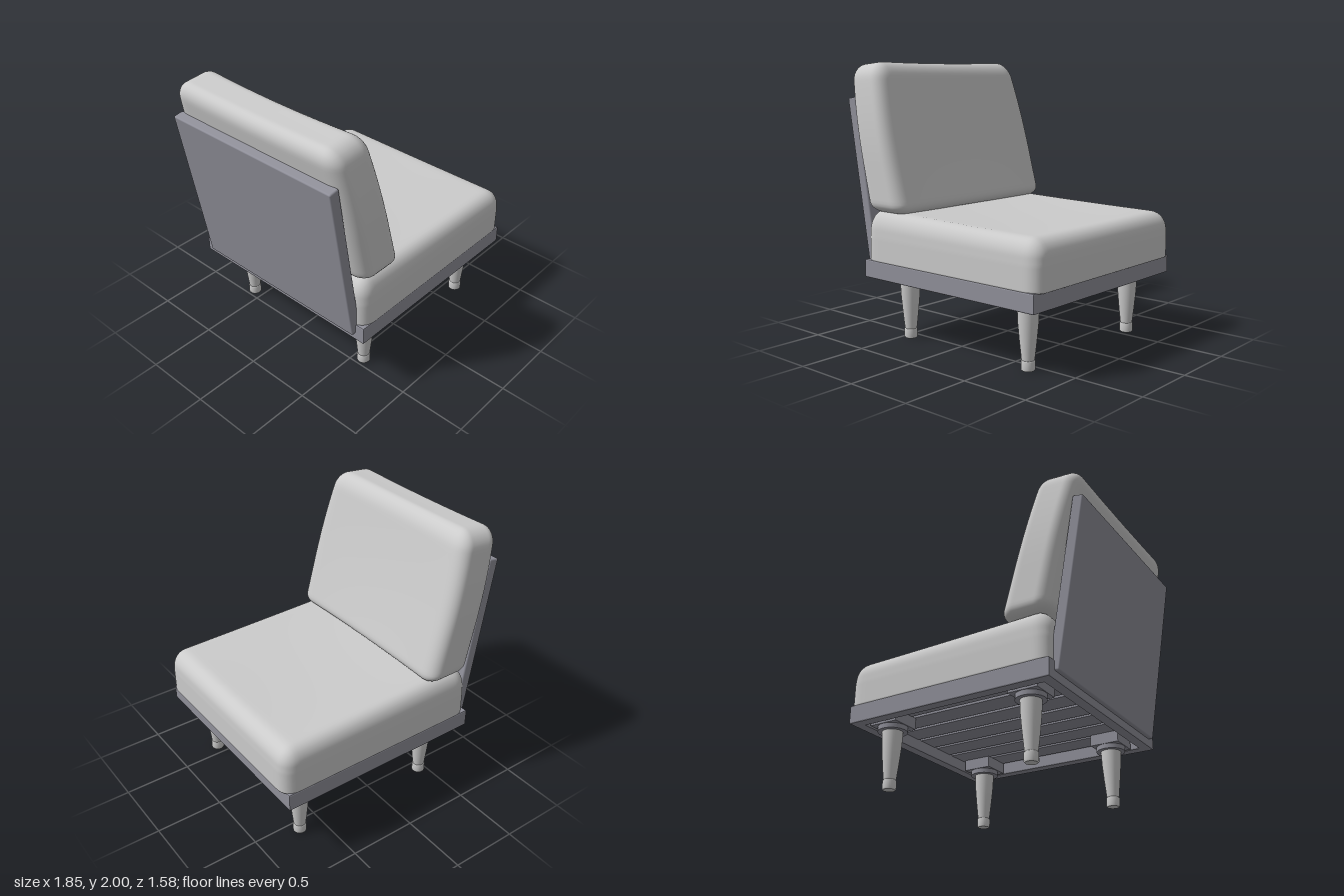
import * as THREE from 'three';
import { mergeVertices } from 'three/addons/utils/BufferGeometryUtils.js';
import { RoundedBoxGeometry } from 'three/addons/geometries/RoundedBoxGeometry.js';

const fabric = new THREE.MeshStandardMaterial({ color: 0xcccccc });
const frameMat = new THREE.MeshStandardMaterial({ color: 0x90909a });

function add(parent, name, geometry, material, x = 0, y = 0, z = 0) {
  const mesh = new THREE.Mesh(geometry, material);
  mesh.name = name;
  mesh.position.set(x, y, z);
  parent.add(mesh);
  return mesh;
}

// Soft box: half sizes, corner radii per axis (lowRy for the underside), then a deform rule
// that receives the point and its normalised coordinates (-1..1).
function cushion(half, radii, lowRy, deform) {
  const n = 40;
  let g = new THREE.BoxGeometry(2, 2, 2, n, n, n);
  g.deleteAttribute('uv');
  g.deleteAttribute('normal');
  g = mergeVertices(g, 1e-5);
  const pos = g.attributes.position;
  const p = new THREE.Vector3(), core = new THREE.Vector3(), off = new THREE.Vector3();
  for (let i = 0; i < pos.count; i++) {
    p.fromBufferAttribute(pos, i);
    const r = [radii[0], p.y < 0 ? lowRy : radii[1], radii[2]];
    for (let a = 0; a < 3; a++) {
      // cluster the rows near the edges, where the surface curves
      const v = half[a] * Math.sin(p.getComponent(a) * Math.PI / 2);
      const c = THREE.MathUtils.clamp(v, r[a] - half[a], half[a] - r[a]);
      core.setComponent(a, c);
      off.setComponent(a, (v - c) / r[a]);
    }
    off.normalize();
    for (let a = 0; a < 3; a++) p.setComponent(a, core.getComponent(a) + off.getComponent(a) * r[a]);
    deform(p, p.x / half[0], p.y / half[1], p.z / half[2]);
    pos.setXYZ(i, p.x, p.y, p.z);
  }
  g.computeVertexNormals();
  return g;
}

function rectangle(Type, hx, hz) {
  return new Type([[-hx, -hz], [hx, -hz], [hx, hz], [-hx, hz]].map(c => new THREE.Vector2(...c)));
}

export function createModel() {
  const chair = new THREE.Group();
  chair.name = 'loungeChair';

  // Base frame: a rectangular ring of rails
  const ring = rectangle(THREE.Shape, 0.78, 0.78);
  ring.holes.push(rectangle(THREE.Path, 0.72, 0.72));
  const rails = new THREE.ExtrudeGeometry(ring, {
    depth: 0.115, bevelEnabled: true, bevelSize: 0.01, bevelThickness: 0.01, bevelSegments: 2,
  });
  rails.rotateX(-Math.PI / 2);
  add(chair, 'baseFrame', rails, frameMat, 0.1, 0.46, 0);

  // Slats under the seat
  const slats = new THREE.Group();
  slats.name = 'seatSlats';
  chair.add(slats);
  for (let i = -3; i <= 3; i++) {
    add(slats, 'slat', new THREE.BoxGeometry(1.5, 0.025, 0.17), frameMat, 0.1, 0.545, i * 0.2);
  }

  // Leaning back panel
  const panel = add(chair, 'backPanel', new RoundedBoxGeometry(0.08, 1.25, 1.44, 2, 0.012), frameMat, -0.785, 1.13, 0);
  panel.rotation.z = 0.166;

  // Seat cushion: higher at the back, with a shallow hollow in the middle
  const seat = cushion([0.805, 0.185, 0.79], [0.11, 0.13, 0.1], 0.02, (p, u, v, w) => {
    const top = Math.max(0, v);
    p.y += top * (-0.018 * u - 0.022 * (1 - u * u) * (1 - w * w));
    p.z *= 1 - 0.012 * top;
    p.x -= 0.012 * top * u;
  });
  add(chair, 'seatCushion', seat, fabric, 0.115, 0.75, 0);

  // Back cushion: leaning, narrower at the top, with a hollow front
  const back = cushion([0.18, 0.535, 0.79], [0.1, 0.12, 0.12], 0.08, (p, u, v, w) => {
    const front = Math.max(0, u);
    p.x *= 1 - 0.07 * v;
    p.x -= 0.25 * p.y + 0.035 * front * (1 - w * w) * (1 - 0.4 * v * v);
    p.z *= 1 - 0.085 * Math.max(0, v + 0.3) ** 2 / 1.69;
    p.y -= 0.012 * Math.max(0, v) * (1 - w * w);
    p.y += 0.03 * Math.max(0, v) * u * 0.5;
  });
  add(chair, 'backCushion', back, fabric, -0.615, 1.465, 0);

  // Turned legs with mounting plates
  const legProfile = [[0, 0], [0.042, 0], [0.048, 0.008], [0.048, 0.064], [0.042, 0.07],
    [0.045, 0.08], [0.058, 0.2], [0.069, 0.32], [0.073, 0.42], [0, 0.42]];
  // Double points keep the turned edges crisp
  const points = legProfile.flatMap(([r, y], i) =>
    [1, 4, 8].includes(i) ? [new THREE.Vector2(r, y), new THREE.Vector2(r, y + 0.0005)] : [new THREE.Vector2(r, y)]);
  const legGeo = new THREE.LatheGeometry(points, 32);
  const plateGeo = new THREE.CylinderGeometry(0.105, 0.105, 0.04, 32);
  for (const x of [-0.44, 0.675]) {
    for (const z of [-0.58, 0.58]) {
      const leg = new THREE.Group();
      leg.name = (x > 0 ? 'front' : 'rear') + 'Leg';
      leg.position.set(x, 0, z);
      add(leg, 'legPost', legGeo, fabric);
      add(leg, 'legPlate', plateGeo, frameMat, 0, 0.435, 0);
      // Corner block joining the plate to the frame
      add(leg, 'legBlock', new THREE.BoxGeometry(0.22, 0.085, 0.22), frameMat, 0, 0.4925, 0);
      chair.add(leg);
    }
  }
  return chair;
}
